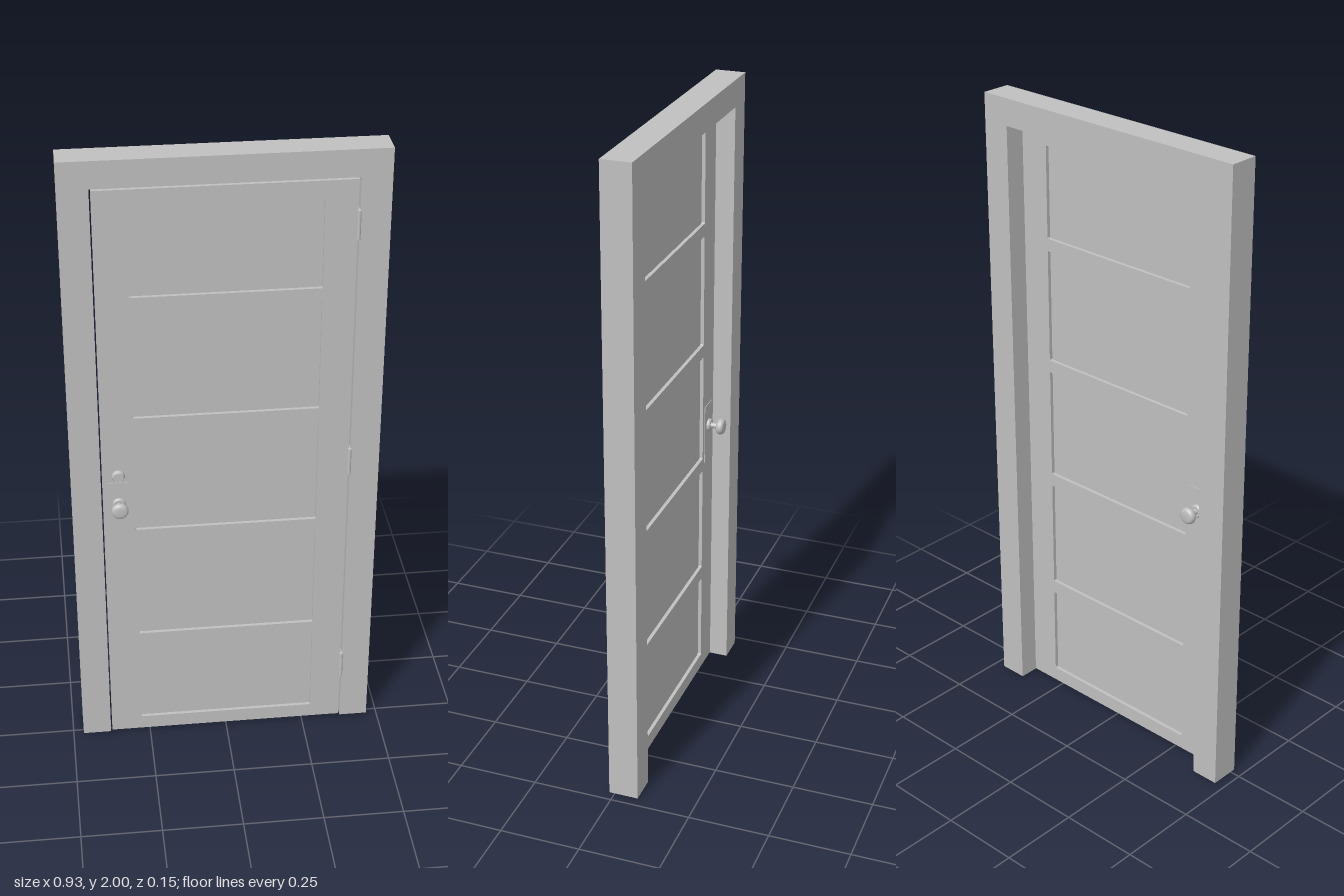
import * as THREE from 'three';

const FRONT = 0.0175, FRAME_BACK = -0.0745, DOOR_BACK = -0.0165;
const KNOB_X = -0.325, KNOB_Y = 0.89;

export function createModel() {
  const grey = new THREE.MeshStandardMaterial({ color: 0xc0c0c0 });
  grey.name = 'door grey';
  const model = new THREE.Group();
  model.name = 'panelDoor';

  const add = (parent, name, geometry, x = 0, y = 0, z = 0) => {
    const mesh = new THREE.Mesh(geometry, grey);
    mesh.name = name;
    mesh.position.set(x, y, z);
    parent.add(mesh);
    return mesh;
  };
  const extrude = (shape, depth) =>
    new THREE.ExtrudeGeometry(shape, { depth, bevelEnabled: false, curveSegments: 4 });
  const points = (list) => list.map(([x, y]) => new THREE.Vector2(x, y));

  // Turned parts: each straight profile run is its own band, so steps stay crisp
  const turned = (parent, name, bands) => {
    for (const band of bands) add(parent, name, new THREE.LatheGeometry(points(band), 32).rotateX(Math.PI / 2));
  };

  // Frame: two jambs and a head around an opening that reaches the floor
  const frame = new THREE.Shape(points([
    [-0.467, 0], [-0.378, 0], [-0.378, 1.917], [0.378, 1.917],
    [0.378, 0], [0.467, 0], [0.467, 2], [-0.467, 2],
  ]));
  add(model, 'frame', extrude(frame, FRONT - FRAME_BACK), 0, 0, FRAME_BACK);

  // Door leaf: stiles and rails with five recessed panels
  const leaf = new THREE.Group();
  leaf.name = 'doorLeaf';
  model.add(leaf);
  const rails = new THREE.Shape(points([[-0.373, 0.006], [0.373, 0.006], [0.373, 1.912], [-0.373, 1.912]]));
  const midZ = (FRONT + DOOR_BACK) / 2;
  const w = 0.278, r = 0.005;
  for (const [y0, y1] of [[0.053, 0.349], [0.392, 0.746], [0.788, 1.143], [1.183, 1.54], [1.58, 1.867]]) {
    const hole = new THREE.Path();
    hole.moveTo(-w + r, y0);
    hole.lineTo(w - r, y0);
    hole.quadraticCurveTo(w, y0, w, y0 + r);
    hole.lineTo(w, y1 - r);
    hole.quadraticCurveTo(w, y1, w - r, y1);
    hole.lineTo(-w + r, y1);
    hole.quadraticCurveTo(-w, y1, -w, y1 - r);
    hole.lineTo(-w, y0 + r);
    hole.quadraticCurveTo(-w, y0, -w + r, y0);
    rails.holes.push(hole);
    add(leaf, 'panel', new THREE.BoxGeometry(2 * w, y1 - y0, 0.012), 0, (y0 + y1) / 2, midZ);
  }
  add(leaf, 'stilesAndRails', extrude(rails, FRONT - DOOR_BACK), 0, 0, DOOR_BACK);

  // Knob with rosette, neck and backing plate, one set on each face
  for (const side of ['front', 'back']) {
    const set = new THREE.Group();
    set.name = side + 'KnobSet';
    set.position.set(KNOB_X, KNOB_Y, side === 'front' ? FRONT : DOOR_BACK);
    if (side === 'back') set.rotation.y = Math.PI;
    model.add(set);
    add(set, 'backPlate', new THREE.BoxGeometry(0.064, 0.195, 0.002), 0, -0.024, 0.001);
    turned(set, 'rosette', [
      [[0.02, 0], [0.02, 0.008]],
      [[0.02, 0.008], [0.017, 0.012]],
      [[0.017, 0.012], [0, 0.012]],
    ]);
    turned(set, 'knob', [
      [[0.009, 0.01], [0.008, 0.02], [0.009, 0.03]],
      [[0.009, 0.03], [0.017, 0.033], [0.023, 0.036], [0.0255, 0.041], [0.0255, 0.047],
        [0.023, 0.053], [0.018, 0.056], [0.01, 0.057], [0, 0.057]],
    ]);
  }

  // Deadbolt cylinder above the front knob
  const lock = new THREE.Group();
  lock.name = 'deadbolt';
  lock.position.set(KNOB_X, 0.987, FRONT);
  model.add(lock);
  turned(lock, 'lockCylinder', [
    [[0.02, 0], [0.02, 0.004]],
    [[0.02, 0.004], [0.016, 0.013]],
    [[0.016, 0.013], [0, 0.013]],
  ]);

  // Hinges: barrel on the front, leaf plate in the gap behind it
  for (const y of [0.216, 0.993, 1.776]) {
    const hinge = new THREE.Group();
    hinge.name = 'hinge';
    hinge.position.set(0.3745, y, 0);
    model.add(hinge);
    add(hinge, 'hingeBarrel', new THREE.CylinderGeometry(0.006, 0.006, 0.09, 16), 0, 0, 0.0235);
    add(hinge, 'hingeLeaf', new THREE.BoxGeometry(0.004, 0.088, 0.03), 0.001, 0, 0.005);
  }
  return model;
}
